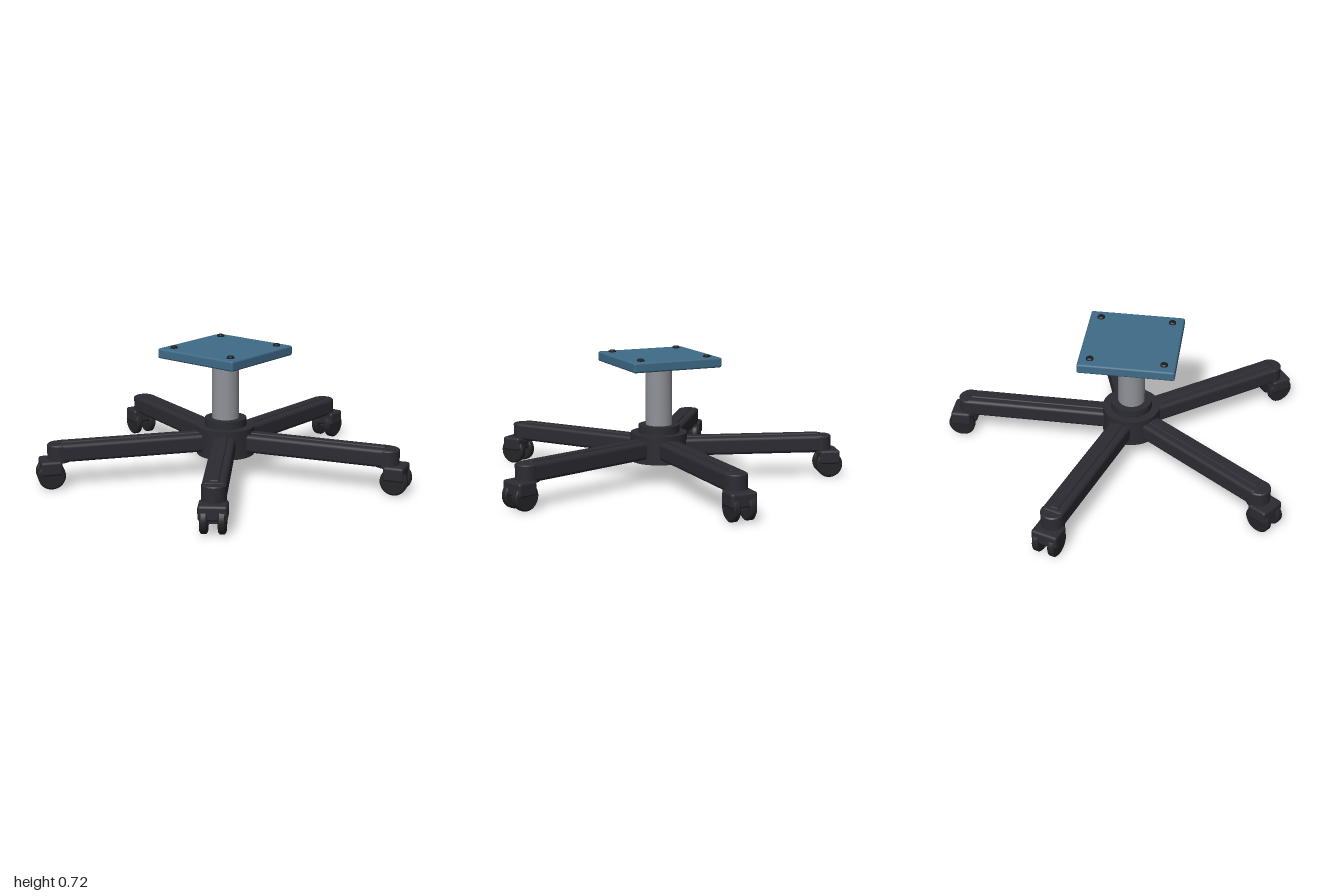
import * as THREE from 'three';
import { RoundedBoxGeometry } from 'three/addons/geometries/RoundedBoxGeometry.js';
import { toCreasedNormals } from 'three/addons/utils/BufferGeometryUtils.js';

const mat = (name, color) => {
  const m = new THREE.MeshStandardMaterial({ color });
  m.name = name;
  return m;
};

export function createModel() {
  const plastic = mat('dark plastic', 0x2b2b32);
  const rubber = mat('wheel rubber', 0x252529);
  const boltSteel = mat('black bolt', 0x1c1c20);
  const steel = mat('column steel', 0x8f9298);
  const blue = mat('blue plate', 0x3f6b88);

  const model = new THREE.Group();
  model.name = 'chairBase';
  const base = new THREE.Group();
  base.name = 'pedestal';
  base.position.z = 0.078;
  model.add(base);

  const add = (parent, name, geo, material, x = 0, y = 0, z = 0) => {
    const mesh = new THREE.Mesh(geo, material);
    mesh.name = name;
    mesh.position.set(x, y, z);
    parent.add(mesh);
    return mesh;
  };
  // Solid of revolution with crisp edges
  const turned = (points, sides = 32) => toCreasedNormals(
    new THREE.LatheGeometry(points.map(([r, y]) => new THREE.Vector2(r, y)), sides), 0.5);

  // Hub, collar and gas column
  add(base, 'hub', turned([[0, 0.115], [0.157, 0.115], [0.157, 0.272], [0, 0.272]]), plastic);
  add(base, 'collar', turned([[0.113, 0.26], [0.113, 0.315], [0.06, 0.315]]), plastic);
  add(base, 'column', turned([[0.073, 0.3], [0.073, 0.66]]), steel);

  // Seat mounting plate with four bolts
  add(base, 'mountingPlate', new RoundedBoxGeometry(0.514, 0.054, 0.514, 2, 0.01), blue, 0, 0.677, 0);
  const boltGeo = turned([[0.02, 0.69], [0.02, 0.71], [0.014, 0.716], [0, 0.716]], 16);
  for (const x of [-0.195, 0.195]) {
    for (const z of [-0.195, 0.195]) add(base, 'plateBolt', boltGeo, boltSteel, x, 0, z);
  }

  // Shared leg and caster geometries; each leg runs along -z
  const legGeo = new RoundedBoxGeometry(0.122, 0.098, 0.87, 3, 0.02);
  const ridgeGeo = new RoundedBoxGeometry(0.046, 0.03, 0.79, 2, 0.007);
  const postGeo = turned([[0, 0.14], [0.062, 0.14], [0.062, 0.229], [0.056, 0.235], [0, 0.235]]);
  const hoodGeo = new RoundedBoxGeometry(0.146, 0.078, 0.112, 2, 0.014);
  const blockGeo = new THREE.BoxGeometry(0.06, 0.08, 0.07);
  const wheelGeo = turned([[0, -0.0195], [0.064, -0.0195], [0.073, -0.012],
    [0.073, 0.012], [0.064, 0.0195], [0, 0.0195]]);
  wheelGeo.rotateZ(Math.PI / 2);

  for (let i = 0; i < 5; i++) {
    const leg = new THREE.Group();
    leg.name = 'leg';
    leg.rotation.y = i * Math.PI * 2 / 5;
    base.add(leg);
    add(leg, 'legBeam', legGeo, plastic, 0, 0.191, -0.49);
    add(leg, 'legRidge', ridgeGeo, plastic, 0, 0.233, -0.505);
    add(leg, 'casterSocket', postGeo, plastic, 0, 0, -0.91);

    const caster = new THREE.Group();
    caster.name = 'caster';
    caster.position.z = -0.957;
    leg.add(caster);
    add(caster, 'casterHood', hoodGeo, plastic, 0, 0.115, 0);
    add(caster, 'casterBlock', blockGeo, plastic, 0, 0.1, 0);
    for (const side of [-1, 1]) add(caster, 'wheel', wheelGeo, rubber, side * 0.0445, 0.073, 0);
  }
  return model;
}
